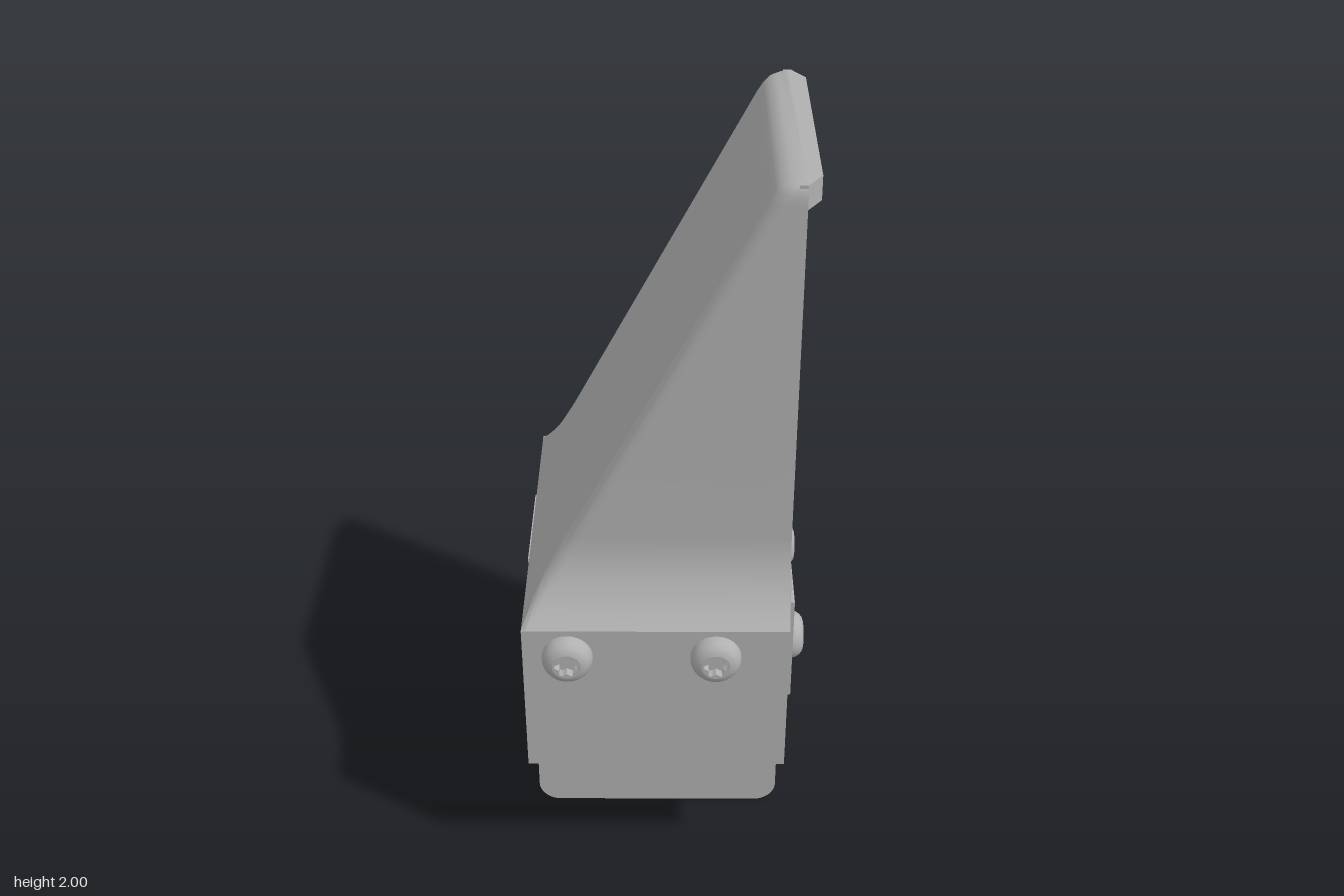
import * as THREE from 'three';
import { toCreasedNormals } from 'three/addons/utils/BufferGeometryUtils.js';

const steel = new THREE.MeshStandardMaterial({ color: 0xb0b0b0 });
steel.name = 'grey steel';

const XL = -0.37, XR = 0.31, HZ = 0.46, SHOULDER = 0.83;

function part(name, geometry) {
  const mesh = new THREE.Mesh(geometry, steel);
  mesh.name = name;
  return mesh;
}

function polygon(points) {
  return new THREE.Shape(points.map(([a, b]) => new THREE.Vector2(a, b)));
}

function extrude(shape, depth) {
  const g = new THREE.ExtrudeGeometry(shape, { depth, bevelEnabled: false, curveSegments: 16 });
  return toCreasedNormals(g, 0.6);
}

// Profile drawn in (z, y) and swept along x
function extrudeX(shape, x0, x1) {
  return extrude(shape, x1 - x0).rotateY(Math.PI / 2).translate(x0, 0, 0);
}

// Block with the concave roots of both lugs
function blockGeometry() {
  const s = new THREE.Shape();
  s.moveTo(0.1, 0.21);
  s.lineTo(0.2, 0.21);
  s.absarc(0.37, 0.21, 0.17, Math.PI, Math.PI / 2, true);
  s.lineTo(HZ, 0.38);
  s.lineTo(HZ, SHOULDER);
  s.lineTo(-HZ, SHOULDER);
  s.lineTo(-HZ, 0.38);
  s.lineTo(-0.37, 0.38);
  s.absarc(-0.37, 0.21, 0.17, Math.PI / 2, 0, true);
  s.lineTo(-0.1, 0.21);
  s.lineTo(-0.1, 0.38);
  s.lineTo(0.1, 0.38);
  s.closePath();
  return extrudeX(s, XL, XR);
}

// Lug plate with rounded lower corners and optional pin holes
function lugGeometry(holes) {
  const r = 0.06, s = new THREE.Shape();
  s.moveTo(XR, 0.21);
  s.lineTo(XL, 0.21);
  s.lineTo(XL, r);
  s.absarc(XL + r, r, r, Math.PI, Math.PI * 1.5, false);
  s.lineTo(XR - r, 0);
  s.absarc(XR - r, r, r, -Math.PI / 2, 0, false);
  s.closePath();
  for (const x of holes) {
    const h = new THREE.Path();
    h.absarc(x, 0.11, 0.05, 0, Math.PI * 2, true);
    s.holes.push(h);
  }
  return extrude(s, 0.1);
}

// Wedge: horizontal sections with rounded edges on the sloping side
function wedgeGeometry() {
  const levels = [];
  const slope = (y) => XL + 0.53 * (y - SHOULDER);
  const R = 0.292;
  for (let i = 0; i <= 12; i++) {
    const t = i / 12, y = SHOULDER + 0.22 * t;
    const hz = 0.36 + R - Math.sqrt(R * R - (1.05 - y) ** 2);
    levels.push([y, slope(y), hz, 0.012 + 0.028 * Math.min(1, t * 2)]);
  }
  levels.push([1.5, slope(1.5), 0.36, 0.04], [1.95, slope(1.95), 0.36, 0.04]);
  levels.push([1.975, 0.239, 0.36, 0.04], [1.99, 0.252, 0.355, 0.038], [2, 0.274, 0.345, 0.03]);

  const pos = [], idx = [], steps = 6, n = 2 * (steps + 2);
  for (const [y, xl, hz, r] of levels) {
    const half = [[XR, hz]];
    for (let k = 0; k <= steps; k++) {
      const a = (k / steps) * Math.PI / 2;
      half.push([xl + r * (1 - Math.sin(a)), hz - r * (1 - Math.cos(a))]);
    }
    const ring = half.concat([...half].reverse().map(([x, z]) => [x, -z]));
    for (const [x, z] of ring) pos.push(x, y, z);
  }
  for (let j = 0; j < levels.length - 1; j++) {
    for (let i = 0; i < n; i++) {
      const a = j * n + i, b = j * n + (i + 1) % n;
      idx.push(a, a + n, b + n, a, b + n, b);
    }
  }
  const top = (levels.length - 1) * n;
  for (let i = 1; i < n - 1; i++) idx.push(top, top + i + 1, top + i);

  const g = new THREE.BufferGeometry();
  g.setAttribute('position', new THREE.Float32BufferAttribute(pos, 3));
  g.setIndex(idx);
  return toCreasedNormals(g, 0.6);
}

// Button-head screw pointing along +z, with a six-lobed socket
function screw() {
  const g = new THREE.Group();
  g.name = 'screw';
  const profile = [[0.065, 0], [0.065, 0.012], [0.062, 0.024], [0.055, 0.035], [0.046, 0.042], [0.036, 0.045]];
  const dome = new THREE.LatheGeometry(profile.map(([r, h]) => new THREE.Vector2(r, h)), 32);
  g.add(part('screwHead', dome.rotateX(Math.PI / 2)));

  const ring = new THREE.Shape();
  ring.absarc(0, 0, 0.0365, 0, Math.PI * 2, false);
  const lobes = [];
  for (let i = 0; i < 48; i++) {
    const a = -(i / 48) * Math.PI * 2, r = 0.027 + 0.005 * Math.cos(6 * a);
    lobes.push(new THREE.Vector2(r * Math.cos(a), r * Math.sin(a)));
  }
  ring.holes.push(new THREE.Path(lobes));
  g.add(part('screwSocket', extrude(ring, 0.025).translate(0, 0, 0.02)));
  g.add(part('socketFloor', new THREE.CircleGeometry(0.036, 24).translate(0, 0, 0.021)));
  return g;
}

export function createModel() {
  const model = new THREE.Group();
  model.name = 'wedgeBracket';

  model.add(part('block', blockGeometry()));
  model.add(part('wedge', wedgeGeometry()));
  model.add(part('frontLug', lugGeometry([]).translate(0, 0, 0.1)));
  model.add(part('backLug', lugGeometry([-0.27, 0.21]).translate(0, 0, -0.2)));

  // Lip along the top edge, tapered at both ends
  const lip = polygon([[XR - 0.02, -0.355], [XR, -0.355], [0.345, -0.3], [0.345, 0.3], [XR, 0.355], [XR - 0.02, 0.355]]);
  model.add(part('topLip', extrude(lip, 0.06).rotateX(-Math.PI / 2).translate(0, 1.938, 0)));

  // Bolted plate: thin backing and a raised rim open at the top
  const backing = polygon([
    [-0.34, 0.52], [-0.15, 0.52], [-0.135, 0.5], [0.135, 0.5], [0.15, 0.52], [0.34, 0.52],
    [0.34, 0.83], [0.31, 0.905], [0.295, 0.893], [-0.295, 0.893], [-0.31, 0.905], [-0.34, 0.83],
  ]);
  model.add(part('plateBacking', extrudeX(backing, XR - 0.005, 0.318)));
  const rim = polygon([
    [-0.34, 0.52], [-0.15, 0.52], [-0.135, 0.5], [0.135, 0.5], [0.15, 0.52], [0.34, 0.52],
    [0.34, 0.83], [0.135, 0.83], [0.135, 0.72], [0.31, 0.72], [0.31, 0.56],
    [-0.31, 0.56], [-0.31, 0.72], [-0.135, 0.72], [-0.135, 0.83], [-0.34, 0.83],
  ]);
  model.add(part('plateRim', extrudeX(rim, XR - 0.005, 0.328)));

  // Flush insert under the sloping face
  const insert = new THREE.BoxGeometry(0.008, 0.15, 0.3).translate(XL + 0.001, SHOULDER - 0.075, 0);
  model.add(part('slopeInsert', insert));

  // Screws on the plate and on both sides
  for (const side of [1, -1]) {
    const s = screw();
    s.name = 'plateScrew';
    s.rotation.y = Math.PI / 2;
    s.position.set(0.32, 0.62, side * 0.207);
    model.add(s);
    for (const x of [-0.255, 0.123]) {
      const t = screw();
      t.name = 'sideScrew';
      t.rotation.y = side > 0 ? 0 : Math.PI;
      t.position.set(x, 0.75, side * HZ);
      model.add(t);
    }
  }
  return model;
}
